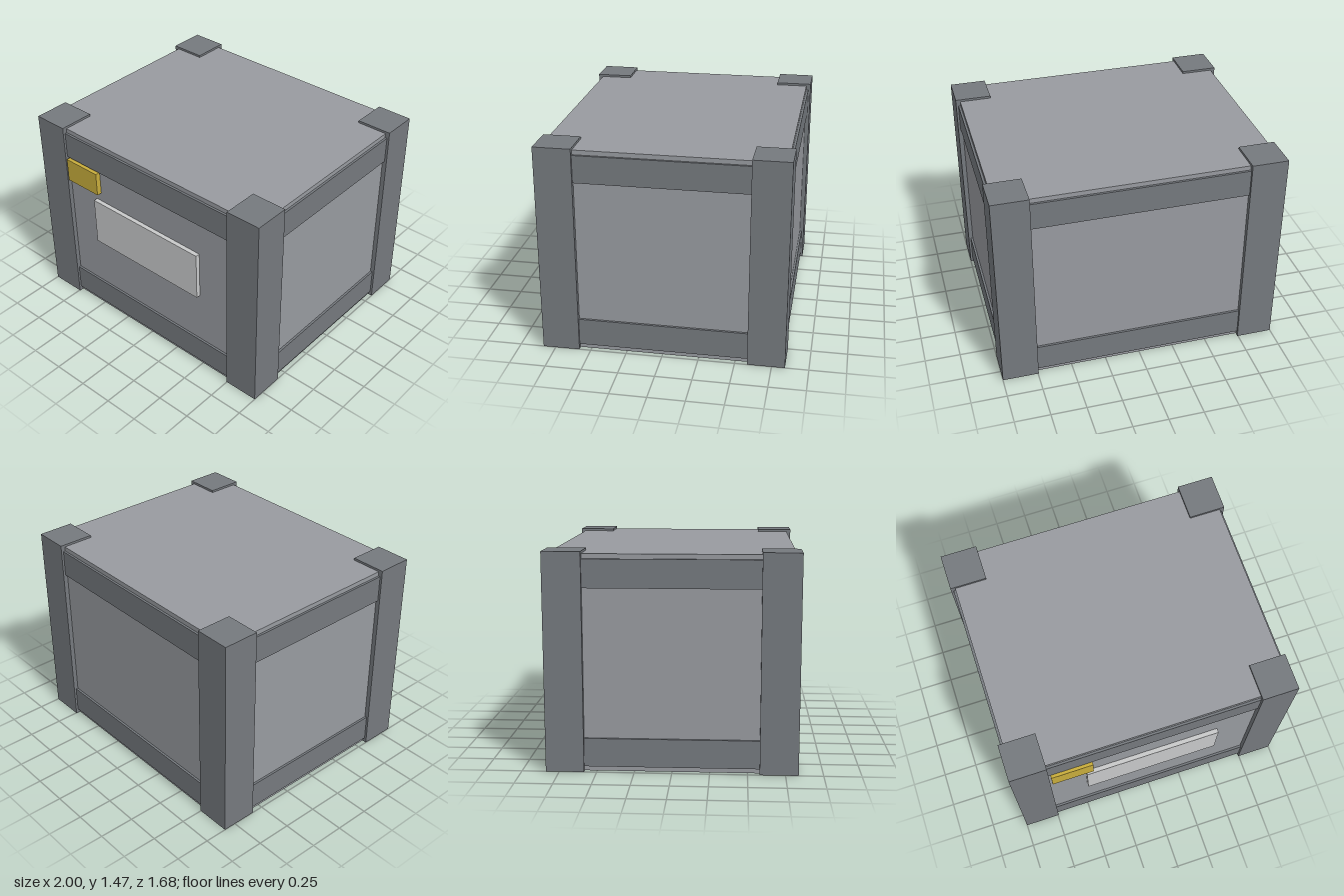
import * as THREE from 'three';

function material(name, color) {
  const m = new THREE.MeshStandardMaterial({ color });
  m.name = name;
  return m;
}

export function createModel() {
  const panelGrey = material('panelGrey', 0x989ba0);
  const frameGrey = material('frameGrey', 0x75797e);
  const labelGrey = material('labelGrey', 0xc8c9ca);
  const tagYellow = material('tagYellow', 0xc8ad3c);

  const crate = new THREE.Group();
  crate.name = 'crate';

  // Box given by its minimum and maximum on each axis
  function box(name, mat, [x0, x1], [y0, y1], [z0, z1]) {
    const mesh = new THREE.Mesh(new THREE.BoxGeometry(x1 - x0, y1 - y0, z1 - z0), mat);
    mesh.position.set((x0 + x1) / 2, (y0 + y1) / 2, (z0 + z1) / 2);
    mesh.name = name;
    crate.add(mesh);
  }
  const span = (side, inner, outer) => (side > 0 ? [inner, outer] : [-outer, -inner]);

  // Main body, a hair above the post feet
  box('body', panelGrey, [-0.968, 0.968], [0.002, 1.452], [-0.806, 0.806]);

  // Corner posts
  for (const sx of [-1, 1]) {
    for (const sz of [-1, 1]) {
      box('cornerPost', frameGrey, span(sx, 0.745, 1), [0, 1.468], span(sz, 0.582, 0.838));
    }
  }

  // Upper and lower rails on all four sides
  for (const heights of [[0.035, 0.227], [1.23, 1.42]]) {
    for (const s of [-1, 1]) {
      box(s > 0 ? 'frontRail' : 'backRail', frameGrey, [-0.75, 0.75], heights, span(s, 0.79, 0.822));
      box('sideRail', frameGrey, span(s, 0.95, 0.984), heights, [-0.59, 0.59]);
    }
  }

  // Plates on the front
  box('labelPlate', labelGrey, [-0.485, 0.481], [0.622, 0.98], [0.8, 0.837]);
  box('cornerTag', tagYellow, [-0.73, -0.437], [1.048, 1.222], [0.8, 0.842]);

  crate.position.z = -0.002;
  const model = new THREE.Group();
  model.name = 'storageCrate';
  model.add(crate);
  return model;
}
